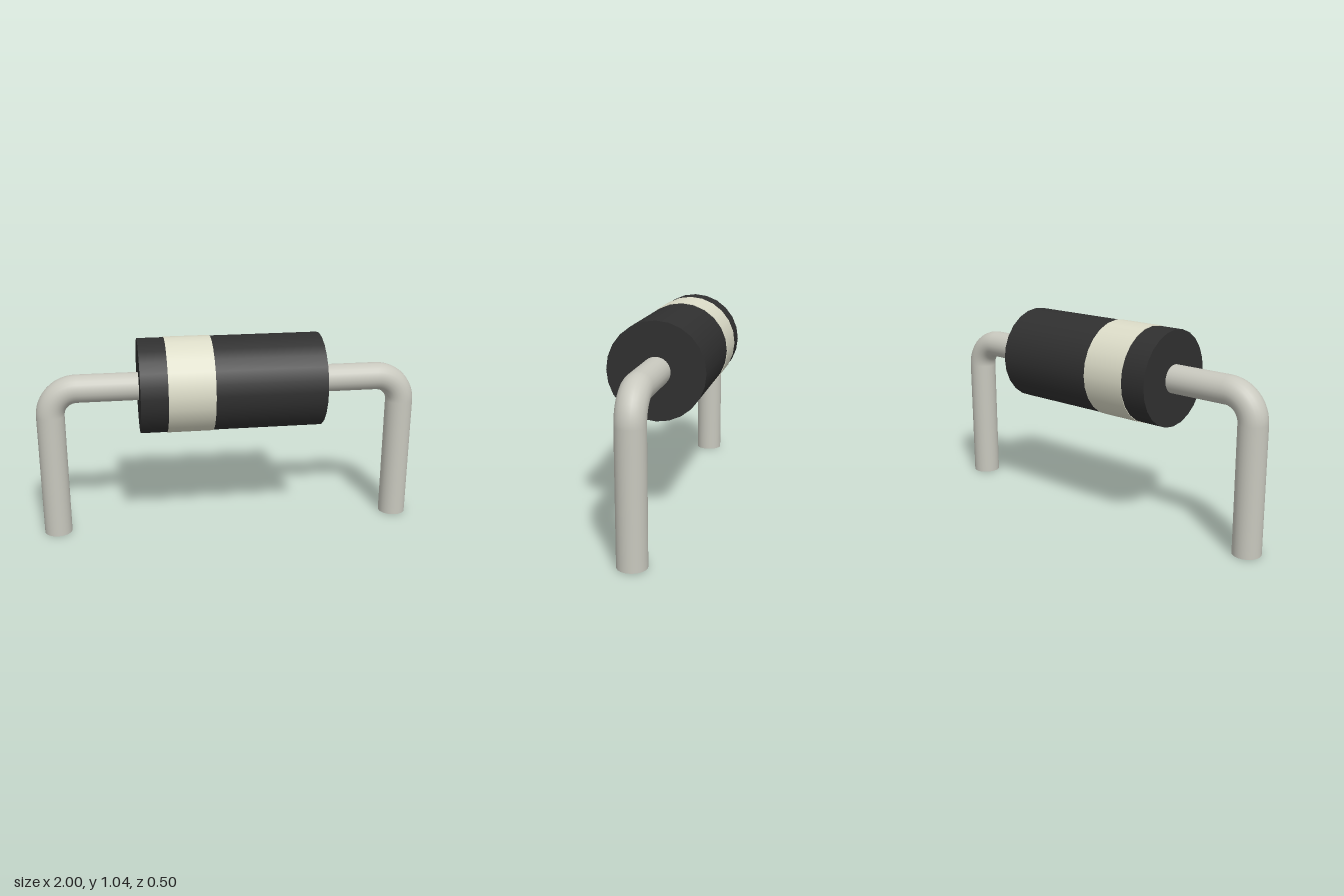
import * as THREE from 'three';

const AXIS_Y = 0.795;    // height of the body axis
const BODY_R = 0.245;
const BODY_HALF = 0.4725;
const WIRE_R = 0.0725;
const BEND_R = 0.14;     // centreline radius of the bend
const LEG_X = 1 - WIRE_R;

export function createModel() {
  const model = new THREE.Group();
  const bodyMat = new THREE.MeshStandardMaterial({ color: 0x303030 });
  const bandMat = new THREE.MeshStandardMaterial({ color: 0xdcdcc8 });
  const wireMat = new THREE.MeshStandardMaterial({ color: 0xc8c8be });

  function add(parent, name, geometry, material, x = 0, y = 0) {
    const mesh = new THREE.Mesh(geometry, material);
    mesh.name = name;
    mesh.position.set(x, y, 0);
    parent.add(mesh);
    return mesh;
  }

  // Cylinder lying along x, with a vertex line at the top
  const barrel = (radius, x0, x1) =>
    new THREE.CylinderGeometry(radius, radius, x1 - x0, 24)
      .rotateZ(Math.PI / 2)
      .translate((x0 + x1) / 2, 0, 0);

  // Body and its marking band
  add(model, 'body', barrel(BODY_R, -BODY_HALF, BODY_HALF), bodyMat, 0, AXIS_Y);
  add(model, 'polarityBand', barrel(BODY_R + 0.003, -0.335, -0.098), bandMat, 0, AXIS_Y);

  // Wire leads: straight run, quarter bend, leg down to the ground
  const bendX = LEG_X - BEND_R;
  const bendY = AXIS_Y - BEND_R;
  const runStart = BODY_HALF - 0.02;
  for (const side of [1, -1]) {
    const lead = new THREE.Group();
    lead.name = side > 0 ? 'leftLead' : 'rightLead';
    const run = new THREE.CylinderGeometry(WIRE_R, WIRE_R, bendX - runStart, 24, 1, true).rotateZ(Math.PI / 2);
    add(lead, 'leadRun', run, wireMat, side * (runStart + bendX) / 2, AXIS_Y);
    const bend = new THREE.TorusGeometry(BEND_R, WIRE_R, 24, 12, Math.PI / 2);
    if (side < 0) bend.rotateZ(Math.PI / 2);
    add(lead, 'leadBend', bend, wireMat, side * bendX, bendY);
    add(lead, 'leadLeg', new THREE.CylinderGeometry(WIRE_R, WIRE_R, bendY, 24), wireMat, side * LEG_X, bendY / 2);
    model.add(lead);
  }
  return model;
}
